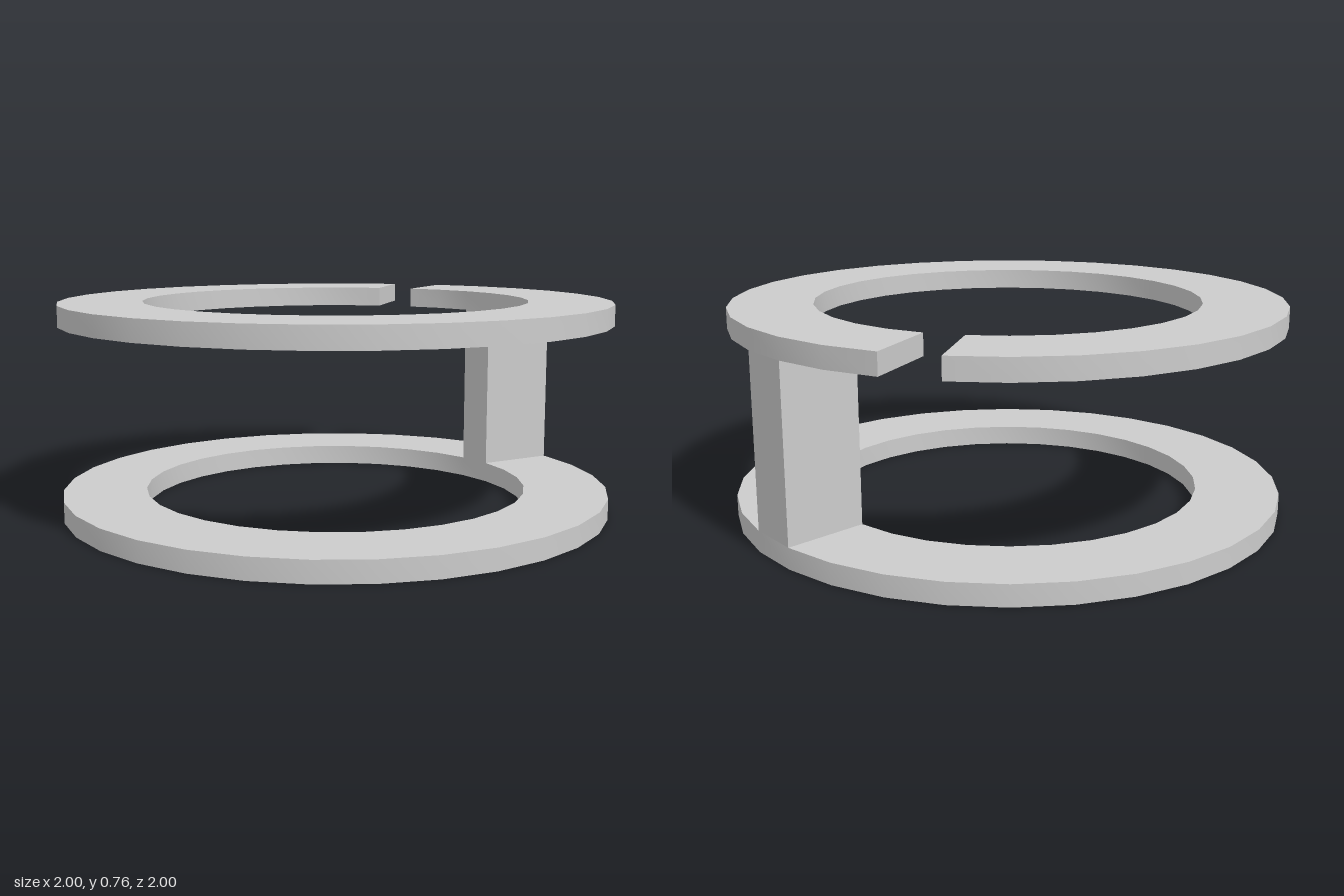
import * as THREE from 'three';
import { toCreasedNormals } from 'three/addons/utils/BufferGeometryUtils.js';

const SEGMENTS = 32, OUTER = 1, INNER = 0.7;
const PLATE = 0.075, HEIGHT = 0.7625;

// Corner points along a circle, from one segment index to another
function arc(radius, from, to) {
  const points = [];
  for (let i = from; i <= to; i++) {
    const a = (i / SEGMENTS) * Math.PI * 2;
    points.push(new THREE.Vector2(radius * Math.cos(a), radius * Math.sin(a)));
  }
  return points;
}

// Part of the ring band between two segment indices
function sector(from, to) {
  return new THREE.Shape([...arc(OUTER, from, to), ...arc(INNER, from, to).reverse()]);
}

// Closed ring band
function fullRing() {
  const shape = new THREE.Shape(arc(OUTER, 0, SEGMENTS - 1));
  shape.holes.push(new THREE.Path(arc(INNER, 0, SEGMENTS - 1)));
  return shape;
}

export function createModel() {
  const group = new THREE.Group();
  const material = new THREE.MeshStandardMaterial({ color: 0xcccccc });

  // Raise a flat shape upwards between two heights
  function add(name, shape, bottom, top) {
    const raw = new THREE.ExtrudeGeometry(shape, { depth: top - bottom, bevelEnabled: false });
    raw.rotateX(-Math.PI / 2).translate(0, bottom, 0);
    const mesh = new THREE.Mesh(toCreasedNormals(raw, 0.5), material);
    mesh.name = name;
    group.add(mesh);
  }

  // Closed bottom ring, top ring with one segment missing at the back, one post joining them
  add('bottomRing', fullRing(), 0, PLATE);
  add('splitTopRing', sector(8, SEGMENTS + 7), HEIGHT - PLATE, HEIGHT);
  add('post', sector(4, 5), PLATE, HEIGHT - PLATE);
  return group;
}
